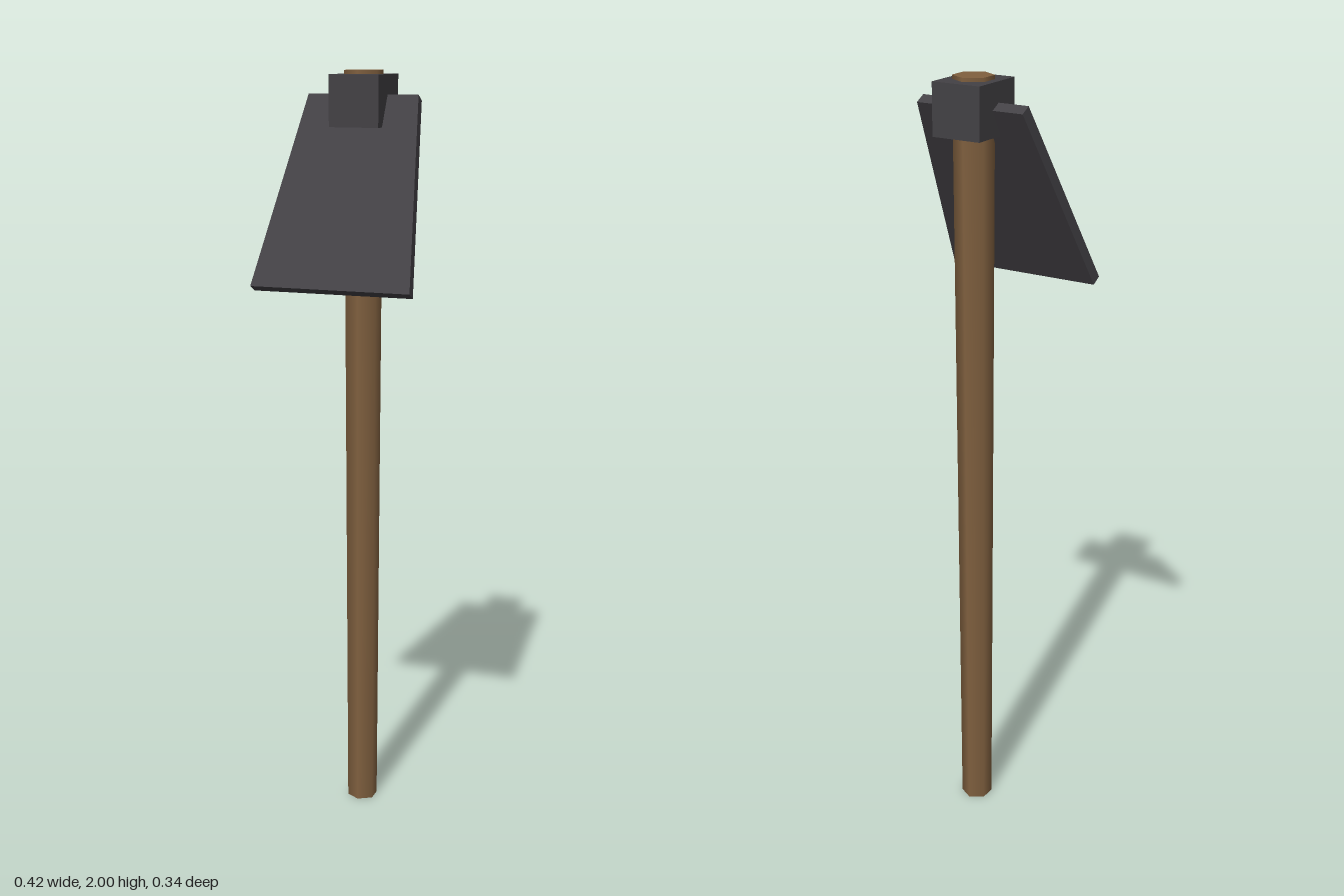
import * as THREE from 'three';

export function createModel() {
  const model = new THREE.Group();
  model.name = 'hoe';
  const wood = new THREE.MeshStandardMaterial({ color: 0x80603f });
  const metal = new THREE.MeshStandardMaterial({ color: 0x434145 });

  const add = (name, geometry, material, x, y, z) => {
    const mesh = new THREE.Mesh(geometry, material);
    mesh.name = name;
    mesh.position.set(x, y, z);
    model.add(mesh);
    return mesh;
  };

  // Six-sided handle, slightly thicker at the head
  add('handle', new THREE.CylinderGeometry(0.051, 0.041, 2, 6), wood, 0, 1, -0.091);

  // Socket block around the top of the handle
  add('socket', new THREE.BoxGeometry(0.132, 0.13, 0.157), metal, 0, 1.925, -0.0915);

  // Flared blade, sloping down and forward from the socket
  const length = 0.53, thickness = 0.031, topHalf = 0.148, bottomHalf = 0.21;
  const outline = new THREE.Shape([
    new THREE.Vector2(-bottomHalf, -length / 2),
    new THREE.Vector2(bottomHalf, -length / 2),
    new THREE.Vector2(topHalf, length / 2),
    new THREE.Vector2(-topHalf, length / 2),
  ]);
  const bladeGeometry = new THREE.ExtrudeGeometry(outline, { depth: thickness, bevelEnabled: false });
  bladeGeometry.translate(0, 0, -thickness / 2);
  add('blade', bladeGeometry, metal, 0, 1.70, 0.028).rotation.x = -0.5;

  return model;
}
